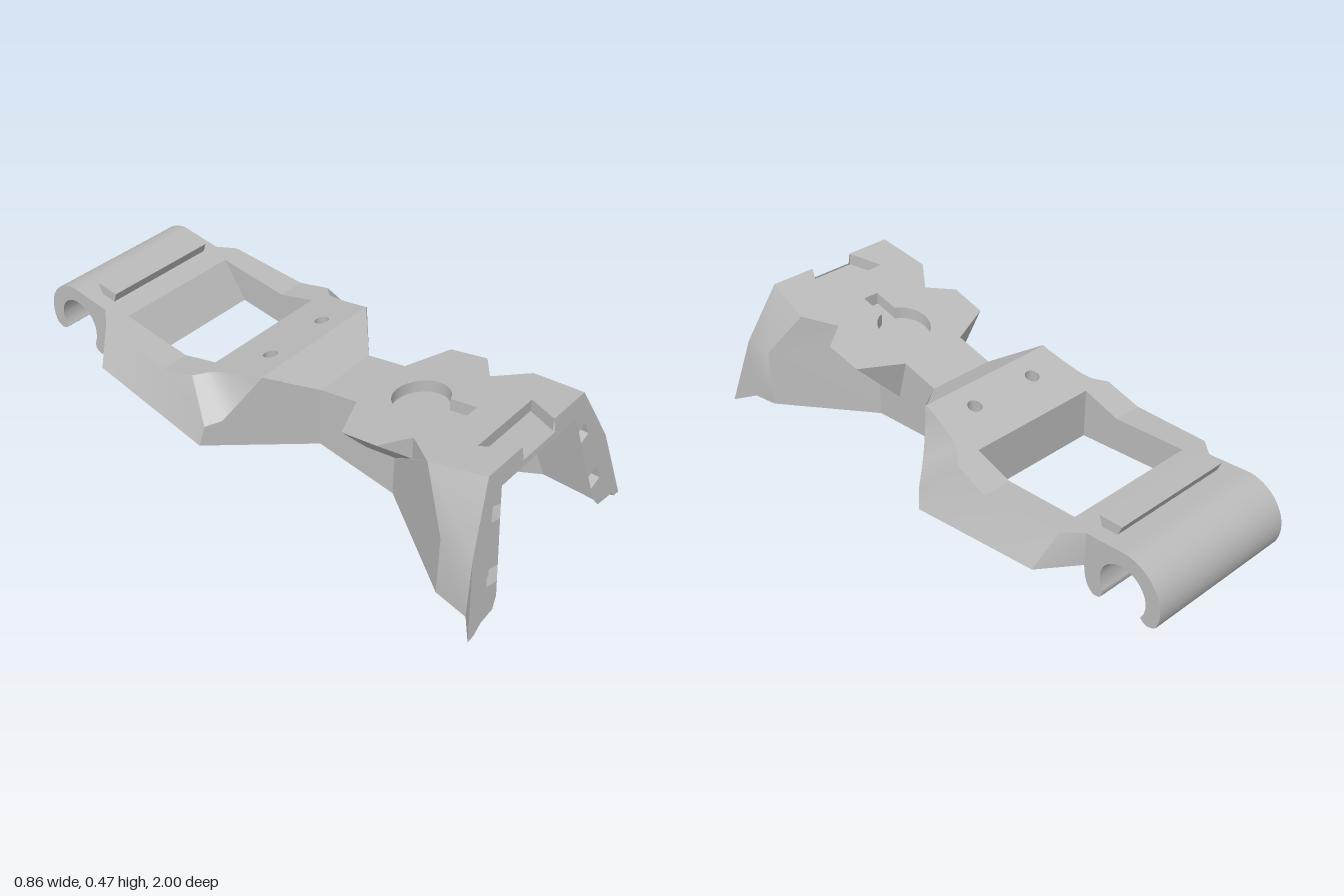
import * as THREE from 'three';
import { toCreasedNormals } from 'three/addons/utils/BufferGeometryUtils.js';

const grey = new THREE.MeshStandardMaterial({ color: 0xbbbbbb, side: THREE.DoubleSide });
grey.name = 'grey';

// Heights of the sloping planes
const hoodY = (z) => 0.475 - 0.2 * (0.905 - z);
const baseY = (z) => 0.12 - 0.12 * z;
const deckY = (z) => 0.395 + 0.28 * (z - 0.04);
const frameY = (z) => 0.29 - 0.11 * (z + 0.335);
const frontZ = (y) => 0.905 + 0.2 * (0.475 - y);

const mirror = (pts) => pts.map(([x, ...r]) => [-x, ...r]);
const both = (half) => [...half, ...mirror(half).reverse()];
const onPlane = (f) => ([x, z]) => [x, f(z), z];
const onFront = (back = 0) => ([x, y]) => [x, y, frontZ(y) - back];

// Convex polygon as a fan of triangles
function fan(...p) {
  const t = [];
  for (let i = 1; i < p.length - 1; i++) t.push(p[0], p[i], p[i + 1]);
  return t;
}
// Fans on both sides of x = 0
const pair = (...p) => [...fan(...p), ...fan(...mirror(p).reverse())];

// Flat outline with holes, placed in space by a rule
function sheet(outline, holes, place) {
  const v = (l) => l.map(([a, b]) => new THREE.Vector2(a, b));
  const all = [outline, ...holes].flat();
  return THREE.ShapeUtils.triangulateShape(v(outline), holes.map(v))
    .flatMap((f) => f.map((i) => place(all[i])));
}
// Wall between two matching loops or lines
function strip(a, b, closed = true) {
  const t = [];
  for (let i = 0; i < a.length - (closed ? 0 : 1); i++) {
    const j = (i + 1) % a.length;
    t.push(...fan(a[i], b[i], b[j], a[j]));
  }
  return t;
}
function circle(x, z, r, n = 24) {
  return Array.from({ length: n }, (_, i) => {
    const a = (i / n) * Math.PI * 2;
    return [x + r * Math.cos(a), z + r * Math.sin(a)];
  });
}
function mesh(name, tris) {
  const g = new THREE.BufferGeometry();
  g.setAttribute('position', new THREE.Float32BufferAttribute(tris.flat(), 3));
  const m = new THREE.Mesh(toCreasedNormals(g, 0.5), grey);
  m.name = name;
  return m;
}
// Side profile (z, y) extruded across x
function across(name, shape, halfWidth) {
  const g = new THREE.ExtrudeGeometry(shape, { depth: halfWidth * 2, bevelEnabled: false, curveSegments: 24 });
  g.rotateY(-Math.PI / 2).translate(halfWidth, 0, 0);
  const m = new THREE.Mesh(toCreasedNormals(g, 0.5), grey);
  m.name = name;
  return m;
}

function buildHood(group) {
  // Top plate with dovetail slot and blind keyhole
  const slot = both([[0.085, 0.905], [0.145, 0.79]]);
  const key = [];
  const a0 = Math.asin(0.03 / 0.095);
  for (let i = 0; i <= 28; i++) {
    const a = a0 + (i / 28) * 2 * (Math.PI - a0);
    key.push([0.095 * Math.sin(a), 0.48 + 0.095 * Math.cos(a)]);
  }
  key.push([-0.03, 0.67], [0.03, 0.67]);
  const top = both([[0.145, 0.79], [0.085, 0.905], [0.255, 0.905], [0.28, 0.71], [0.2, 0.6],
    [0.29, 0.53], [0.285, 0.39], [0.125, 0.32], [0.125, 0.17]]);
  const sunk = onPlane((z) => hoodY(z) - 0.045);
  group.add(mesh('hoodTop', sheet(top, [key], onPlane(hoodY))));
  group.add(mesh('keyhole', [...sheet(key, [], sunk), ...strip(key.map(onPlane(hoodY)), key.map(sunk))]));
  const slotWall = [slot[0], slot[1], slot[2], slot[3]];
  group.add(mesh('dovetailSlot', [...sheet(slot, [], sunk),
    ...strip(slotWall.map(onPlane(hoodY)), slotWall.map(sunk), false)]));

  // Front arch with latch notches
  const low = [[0.265, 0.112], [0.318, 0.125], [0.305, 0.178], [0.253, 0.165]];
  const high = [[0.222, 0.31], [0.265, 0.322], [0.25, 0.37], [0.2115, 0.357]];
  const arch = both([[0.085, 0.43], [0.085, 0.475], [0.255, 0.475], [0.365, 0.26], [0.43, 0], [0.4, 0.003],
    [0.385, 0.02], [0.3, 0.03], [0.275, 0.065], ...low, ...high, [0.2, 0.41]]);
  group.add(mesh('frontArch', sheet(arch, [], onFront())));
  for (const n of [low, high, mirror(low), mirror(high)]) {
    group.add(mesh('latchNotch', [...sheet(n, [], onFront(0.03)),
      ...strip(n.map(onFront()), n.map(onFront(0.03)), false)]));
  }

  // Outer walls
  const T0 = [0.255, 0.475, 0.905], T1 = [0.28, 0.436, 0.71], T2 = [0.2, 0.414, 0.6];
  const M0 = [0.365, 0.26, 0.948], M1 = [0.36, 0.26, 0.83];
  const P0 = [0.43, 0, 1], P1 = [0.365, 0.015, 0.945], P2 = [0.36, 0.035, 0.83], P3 = [0.125, 0.062, 0.48];
  const W = [0.125, 0.215, 0.48], L = [0.2, 0.33, 0.6], R = [0.125, 0.195, 0.365];
  const N0 = [0.125, 0.1, 0.17], N1 = [0.125, 0.328, 0.17], N2 = [0.125, 0.358, 0.32];
  group.add(mesh('hoodSides', [...pair(T0, M0, M1, T1), ...pair(M0, P1, P2, M1), ...pair(M0, P0, P1),
    ...pair(M1, P2, P3, W, L, T2, T1)]));
  group.add(mesh('neckSides', pair(N0, N1, N2, R, W, P3)));

  // Side lugs
  const G0 = [0.29, 0.4, 0.53], G1 = [0.285, 0.372, 0.39];
  group.add(mesh('sideLugs', [...pair(T2, L, G0), ...pair(L, W, R, G1, G0), ...pair(G1, R, N2)]));

  // Hollow inside and the undersides
  const At = [0.2, 0.41, 0.918], Ab = [0.275, 0.065, 0.987];
  const Bt = [0.2, 0.37, 0.72], Bb = [0.272, 0.065, 0.8];
  const Ct = [0.035, 0.325, 0.48], Cb = [0.065, 0.065, 0.47];
  const feet = [[0.43, 0], [0.4, 0.003], [0.385, 0.02], [0.3, 0.03], [0.275, 0.065]].map(onFront());
  const m = (p) => mirror([p])[0];
  group.add(mesh('hoodInside', [...pair(At, Ab, Bb, Bt), ...pair(Bt, Bb, Cb, Ct),
    ...fan(Ct, m(Ct), m(Cb), Cb), ...fan(At, Bt, Ct, m(Ct), m(Bt), m(At))]));
  group.add(mesh('hoodUnderside', [...pair(P1, ...feet), ...pair(Ab, Bb, P2, P1), ...pair(Bb, Cb, P3, P2),
    ...pair(Cb, N0, P3), ...fan(Cb, m(Cb), m(N0), N0)]));
}

function buildBody(group) {
  const N0 = [0.125, 0.1, 0.17], N1 = [0.125, 0.328, 0.17], S1 = [0.265, 0.395, 0.04];
  const Q1 = [0.425, 0.132, -0.1], Q2 = [0.4, 0.192, -0.6], Q3 = [0.28, 0.204, -0.7];
  const U1 = [0.35, 0.29, -0.335], U2 = [0.33, frameY(-0.64), -0.64], U3 = [0.28, frameY(-0.7), -0.7];
  const curve = (pts) => new THREE.CatmullRomCurve3(pts.map((p) => new THREE.Vector3(...p)))
    .getPoints(12).map((p) => p.toArray());
  // Scoop edges on the deck and on the slanted front wall
  const rim = curve([[0.265, 0.04], [0.278, -0.06], [0.3, -0.15], [0.345, -0.2]].map(onPlane(deckY)));
  const cut = curve([[0.47, 0.395], [0.53, 0.33], [0.7, 0.25], [0.95, 0.21]]
    .map(([t, y]) => [0.125 + 0.3 * t, y, 0.17 - 0.27 * t]));
  const V = rim[12], Q1t = cut[12];

  // Deck, frame and base, with screw bores
  const bores = [-0.13, 0.13].map((x) => [circle(x, -0.045, 0.025), circle(x, -0.035, 0.04)]);
  const deck = both([[0.245, -0.19], [0.245, -0.335], [0.35, -0.335],
    ...rim.map(([x, , z]) => [x, z]).reverse()]);
  const frame = both([[0.245, -0.62], [0.245, -0.335], [0.35, -0.335], [0.33, -0.64], [0.28, -0.7]]);
  const base = both([[0.125, 0.17], [0.425, -0.1], [0.4, -0.6], [0.28, -0.7]]);
  const opening = both([[0.245, -0.19], [0.245, -0.525]]);
  group.add(mesh('deck', sheet(deck, bores.map((b) => b[0]), onPlane(deckY))));
  group.add(mesh('rearFrame', sheet(frame, [], onPlane(frameY))));
  group.add(mesh('base', sheet(base, [opening, ...bores.map((b) => b[1])], onPlane(baseY))));
  for (const [t, b] of bores) {
    group.add(mesh('screwBore', strip(t.map(onPlane(deckY)), b.map(onPlane(baseY)))));
  }

  // Outer walls and scoops
  const m = (p) => mirror([p])[0];
  group.add(mesh('deckSlope', fan(N1, S1, m(S1), m(N1))));
  group.add(mesh('bodySides', [...pair(N0, N1, ...cut, Q1), ...pair(Q1, Q1t, V, U1),
    ...pair(Q1, U1, U2, Q2), ...pair(Q2, U2, U3, Q3)]));
  group.add(mesh('scoops', [...strip(rim, cut, false), ...strip(mirror(cut), mirror(rim), false)]));

  // Window walls
  const w = (z, f) => [0.245, f(z), z];
  const a = w(-0.19, deckY), b = w(-0.19, baseY), c = w(-0.62, frameY), d = w(-0.525, baseY);
  group.add(mesh('windowWalls', [...pair(b, a, w(-0.335, frameY), c, d),
    ...fan(a, m(a), m(b), b), ...fan(c, d, m(d), m(c))]));
}

export function createModel() {
  const group = new THREE.Group();
  buildHood(group);
  buildBody(group);

  // Rear clip
  const rad = Math.PI / 180;
  const hook = new THREE.Shape();
  hook.moveTo(-0.7, 0.33);
  hook.lineTo(-0.82, 0.345);
  hook.absarc(-0.86, 0.21, 0.14, 90 * rad, 205 * rad, false);
  hook.quadraticCurveTo(-0.952, 0.125, -0.929, 0.153);
  hook.absarc(-0.855, 0.205, 0.09, 215 * rad, 0, true);
  hook.quadraticCurveTo(-0.765, 0.175, -0.776, 0.15);
  hook.quadraticCurveTo(-0.78, 0.115, -0.745, 0.115);
  hook.quadraticCurveTo(-0.705, 0.125, -0.7, 0.205);
  group.add(across('rearClip', hook, 0.28));

  // Dovetail rail on the clip
  const rail = new THREE.Shape([[-0.715, 0.325], [-0.7, 0.368], [-0.79, 0.376], [-0.772, 0.333]]
    .map(([z, y]) => new THREE.Vector2(z, y)));
  group.add(across('clipRail', rail, 0.225));
  return group;
}
